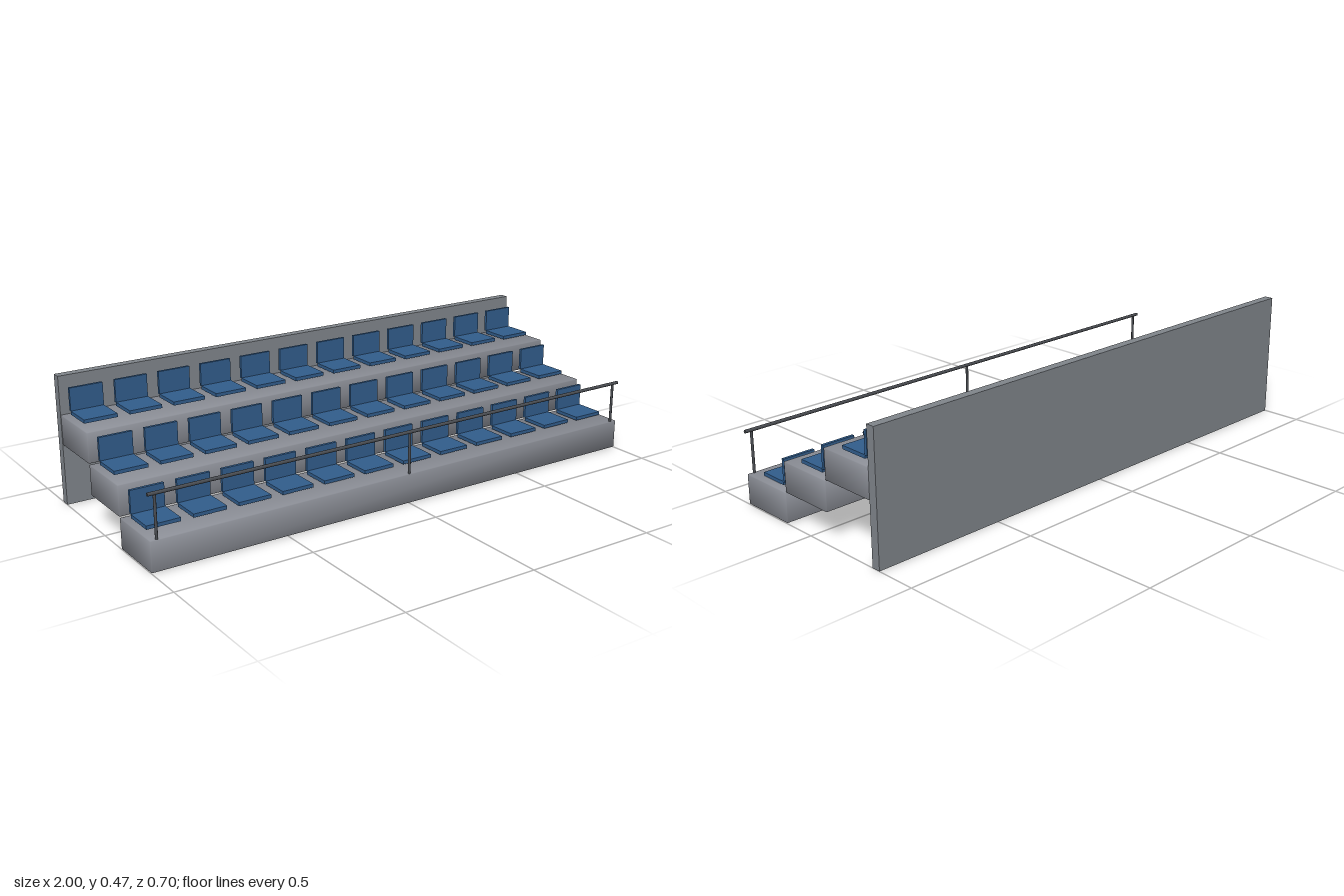
import * as THREE from 'three';
import { RoundedBoxGeometry } from 'three/addons/geometries/RoundedBoxGeometry.js';

const mat = (name, color) => {
  const m = new THREE.MeshStandardMaterial({ color });
  m.name = name;
  return m;
};

// Slightly bevelled box whose normals lean towards its corners for soft shading
function softBox(w, h, d, r) {
  const g = new RoundedBoxGeometry(w, h, d, 1, r);
  const p = g.attributes.position, n = g.attributes.normal;
  const v = new THREE.Vector3();
  for (let i = 0; i < p.count; i++) {
    v.set(Math.sign(p.getX(i)), Math.sign(p.getY(i)), Math.sign(p.getZ(i))).multiplyScalar(0.6);
    v.x += n.getX(i);
    v.y += n.getY(i);
    v.z += n.getZ(i);
    v.normalize();
    n.setXYZ(i, v.x, v.y, v.z);
  }
  return g;
}

export function createModel() {
  const model = new THREE.Group();
  model.name = 'grandstand';
  const concrete = mat('concrete grey', 0x8a8d95);
  const wallGrey = mat('wall grey', 0x80858b);
  const seatBlue = mat('seat blue', 0x315d8c);
  const railGrey = mat('rail dark grey', 0x4a4d52);

  const add = (parent, name, geometry, material, x, y, z) => {
    const m = new THREE.Mesh(geometry, material);
    m.name = name;
    m.position.set(x, y, z);
    parent.add(m);
    return m;
  };

  const rows = 3, seats = 12, rise = 0.1115, run = 0.2225;
  const stepGeo = softBox(2, 0.11, 0.2205, 0.003);
  const panGeo = new THREE.BoxGeometry(0.122, 0.013, 0.111);
  const backGeo = new THREE.BoxGeometry(0.122, 0.083, 0.011);

  // Terraced steps, each with a row of seats
  for (let r = 0; r < rows; r++) {
    const row = new THREE.Group();
    row.name = 'row' + (r + 1);
    row.position.set(0, r * rise, -r * run);
    model.add(row);
    add(row, 'step', stepGeo, concrete, 0, 0.056, 0.2395);
    for (let s = 0; s < seats; s++) {
      const seat = new THREE.Group();
      seat.name = 'seat';
      seat.position.x = (s - (seats - 1) / 2) * 0.1668;
      row.add(seat);
      add(seat, 'seatPan', panGeo, seatBlue, 0, 0.1255, 0.2255);
      add(seat, 'seatBack', backGeo, seatBlue, 0, 0.1725, 0.1645);
    }
  }

  // Rear wall
  add(model, 'backWall', new THREE.BoxGeometry(2, 0.472, 0.033), wallGrey, 0, 0.236, -0.3335);

  // Front guard rail on three posts
  const railing = new THREE.Group();
  railing.name = 'railing';
  model.add(railing);
  const rail = add(railing, 'handRail', new THREE.CylinderGeometry(0.0062, 0.0062, 2, 12), railGrey, 0, 0.265, 0.345);
  rail.rotation.z = Math.PI / 2;
  const postGeo = new THREE.CylinderGeometry(0.005, 0.005, 0.153, 10);
  for (const x of [-0.975, 0, 0.975]) add(railing, 'railPost', postGeo, railGrey, x, 0.1875, 0.345);

  return model;
}
